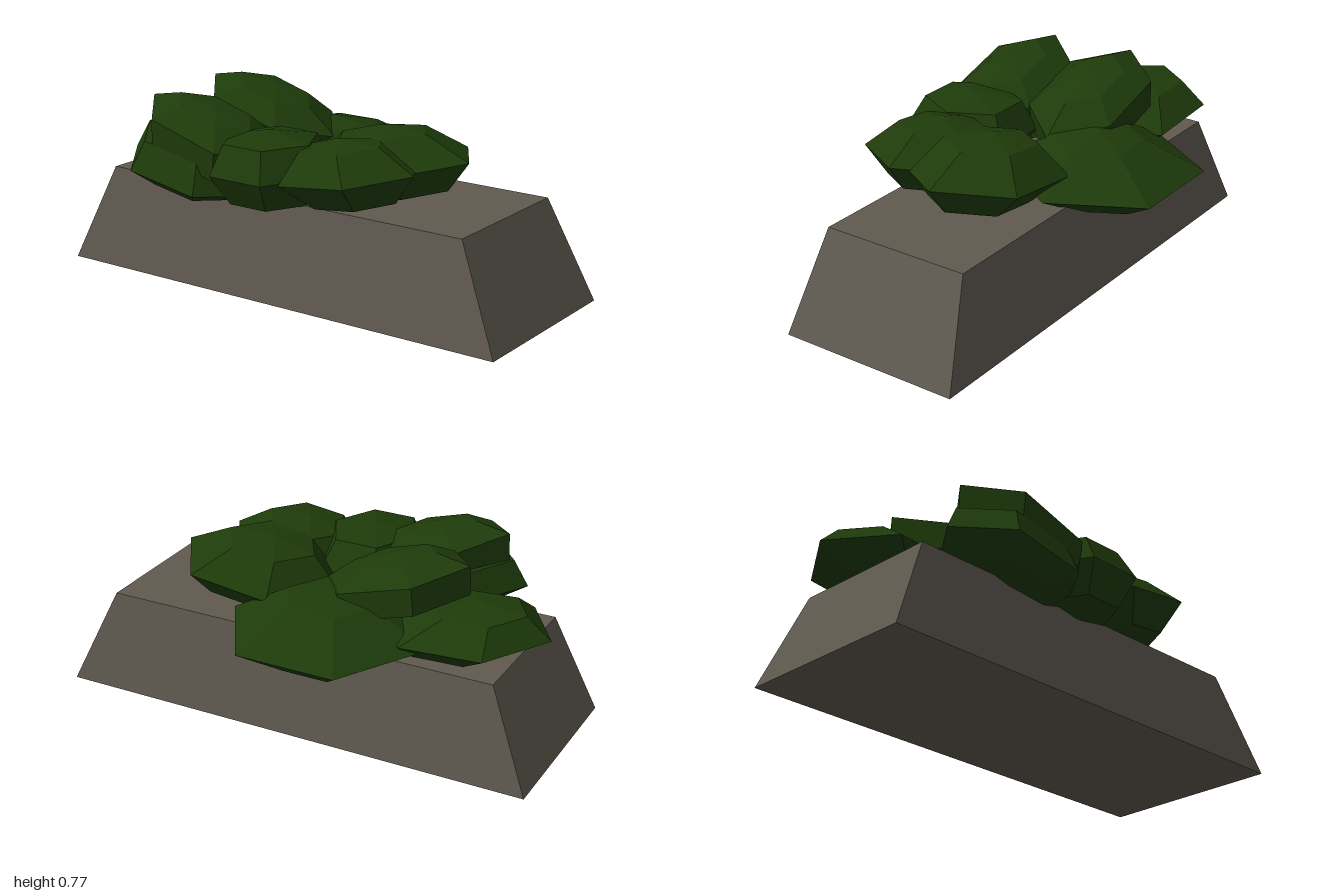
import * as THREE from 'three';

const stone = new THREE.MeshStandardMaterial({ color: 0x5f594f });
stone.name = 'stone';
const leaf = new THREE.MeshStandardMaterial({ color: 0x1e3b0a });
leaf.name = 'leafGreen';

// Unshared corners give every facet its own flat normal
function faceted(geometry) {
  const g = geometry.toNonIndexed();
  g.computeVertexNormals();
  return g;
}

// Tapered plinth: a box whose upper corners are drawn inwards
function makePlinth() {
  const g = new THREE.BoxGeometry(2, 0.4, 0.77);
  g.translate(0, 0.2, 0.045);
  const p = g.attributes.position;
  for (let i = 0; i < p.count; i++) {
    if (p.getY(i) < 0.2) continue;
    p.setX(i, p.getX(i) < 0 ? -0.83 : 0.82);
    p.setZ(i, p.getZ(i) < 0 ? -0.27 : 0.36);
  }
  const mesh = new THREE.Mesh(faceted(g), stone);
  mesh.name = 'plinth';
  return mesh;
}

// Six-sided clump: its middle hexagon is tilted by (slopeX, slopeZ) and its upright
// axis leans along 'axis'; upper and lower set the fullness of the rings, depth the underside
function makeClump({ name, at, rx, rz, slopeX = 0, slopeZ = 0, axis, upper = 0.56, lower = 0.6, depth = 1 }) {
  const profile = [[0, -depth], [lower, -0.78 * depth], [1, 0], [upper, 0.77], [0, 1]]
    .map(([r, y]) => new THREE.Vector2(r, y));
  const g = new THREE.LatheGeometry(profile, 6, Math.PI / 2);
  const m = new THREE.Matrix4().makeBasis(
    new THREE.Vector3(rx, slopeX, 0),
    new THREE.Vector3(...axis),
    new THREE.Vector3(0, slopeZ, rz / 0.866)
  );
  m.setPosition(...at);
  g.applyMatrix4(m);
  const mesh = new THREE.Mesh(faceted(g), leaf);
  mesh.name = name;
  return mesh;
}

const clumps = [
  { name: 'backClump', at: [-0.13, 0.45, -0.235], rx: 0.41, rz: 0.345, slopeZ: 0.01, axis: [0, 0.155, 0.03], upper: 0.46, lower: 0.45 },
  { name: 'leftClump', at: [0.30, 0.53, 0.02], rx: 0.34, rz: 0.275, slopeX: 0.04, axis: [-0.06, 0.135, 0] },
  { name: 'rightClump', at: [-0.63, 0.49, -0.05], rx: 0.335, rz: 0.26, slopeX: -0.02, axis: [-0.07, 0.125, -0.02] },
  { name: 'topClump', at: [-0.325, 0.65, -0.045], rx: 0.305, rz: 0.195, slopeX: -0.09, axis: [0.01, 0.085, 0], lower: 0.97, depth: 1.7 },
  { name: 'frontRightUpperClump', at: [-0.325, 0.635, 0.335], rx: 0.305, rz: 0.19, slopeX: -0.09, axis: [0.01, 0.085, 0], lower: 0.97, depth: 1.7 },
  { name: 'frontRightLowerClump', at: [-0.4, 0.455, 0.355], rx: 0.31, rz: 0.215, slopeX: -0.055, slopeZ: -0.01, axis: [0.01, 0.15, -0.02], upper: 0.84, depth: 0.5 },
  { name: 'frontMiddleClump', at: [-0.04, 0.515, 0.335], rx: 0.24, rz: 0.235, axis: [-0.01, 0.15, 0], upper: 0.75, lower: 0.7 },
  { name: 'frontLeftClump', at: [0.27, 0.53, 0.275], rx: 0.29, rz: 0.245, slopeX: 0.035, axis: [-0.05, 0.13, 0], upper: 0.6 },
];

export function createModel() {
  const model = new THREE.Group();
  model.name = 'shrubOnPlinth';
  model.add(makePlinth());
  const shrub = new THREE.Group();
  shrub.name = 'shrub';
  for (const c of clumps) shrub.add(makeClump(c));
  model.add(shrub);
  return model;
}
